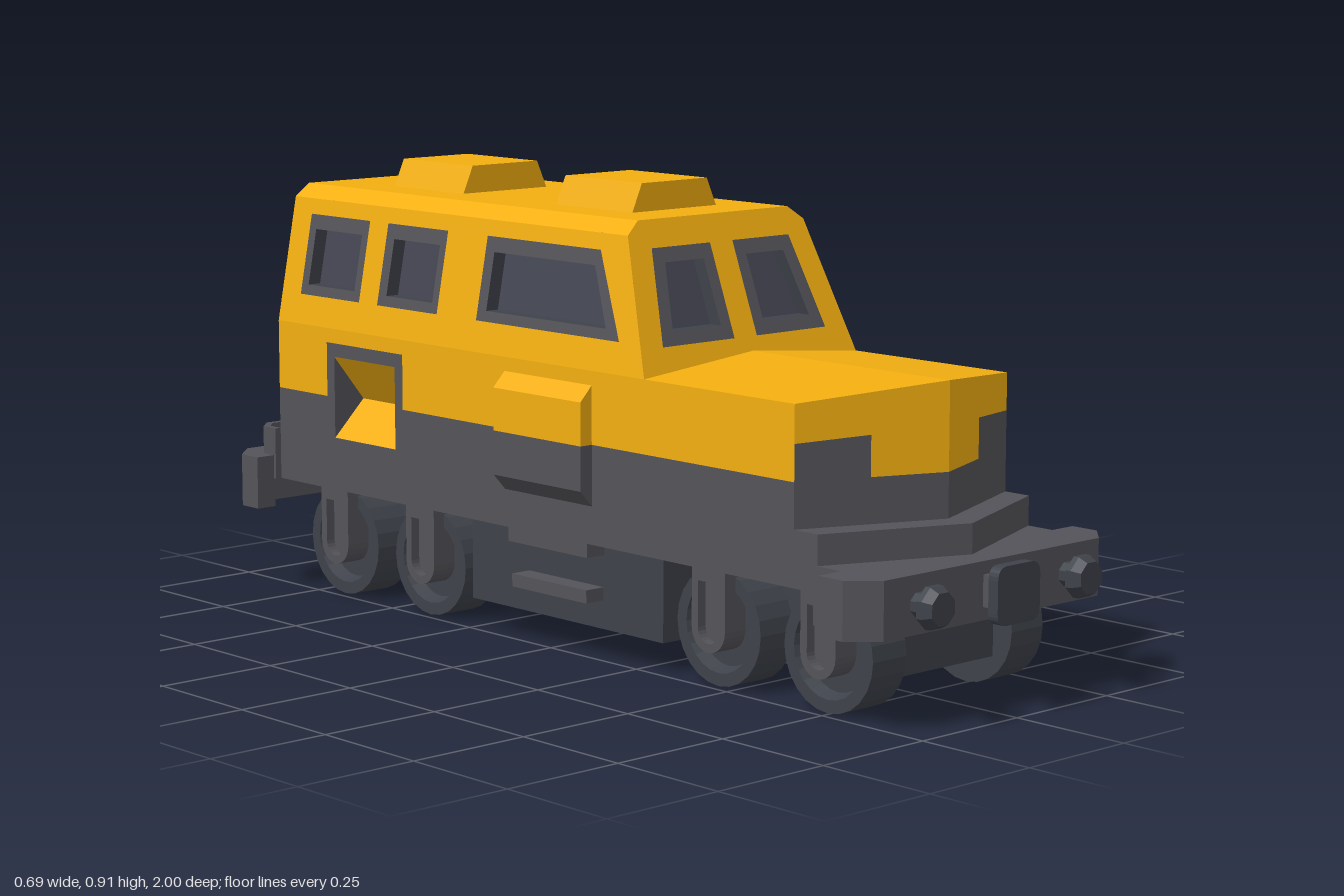
import * as THREE from 'three';

const mat = (color) => new THREE.MeshStandardMaterial({ color, flatShading: true, side: THREE.DoubleSide });
const yellow = mat(0xf2ae10), grey = mat(0x545359), dark = mat(0x3e424a), glass = mat(0x434552);

export function createModel() {
  const model = new THREE.Group();
  const add = (name, geo, material, x = 0, y = 0, z = 0) => {
    const m = new THREE.Mesh(geo, material);
    m.name = name;
    m.position.set(x, y, z);
    model.add(m);
    return m;
  };
  const loop = (pts) => pts.map(([x, y]) => new THREE.Vector2(x, y));
  const shapeOf = (pts, holes = []) => {
    const s = new THREE.Shape(loop(pts));
    holes.forEach((h) => s.holes.push(new THREE.Path(loop(h))));
    return s;
  };
  const rect = (a, b, c, d) => [[a, b], [c, b], [c, d], [a, d]];
  const extrude = (shape, depth) =>
    new THREE.ExtrudeGeometry(shape, { depth, bevelEnabled: false, curveSegments: 6 });
  const box = (name, material, x0, x1, y0, y1, z0, z1) =>
    add(name, new THREE.BoxGeometry(x1 - x0, y1 - y0, z1 - z0), material,
      (x0 + x1) / 2, (y0 + y1) / 2, (z0 + z1) / 2);
  // plan outline in x and z, raised from y0 to y1
  const slab = (name, material, pts, y0, y1) =>
    add(name, extrude(shapeOf(pts), y1 - y0).rotateX(Math.PI / 2), material, 0, y1, 0);

  // flat outline laid onto a wall: map(u, v, depth) gives the point in space
  const panel = (name, material, map, pts, holes = [], depth = 0) => {
    const geo = new THREE.ShapeGeometry(shapeOf(pts, holes)).toNonIndexed();
    const p = geo.attributes.position;
    const out = [];
    const v = (i) => new THREE.Vector3(...map(p.getX(i), p.getY(i), depth));
    const inward = new THREE.Vector3(...map(pts[0][0], pts[0][1], 1)).sub(new THREE.Vector3(...map(pts[0][0], pts[0][1], 0)));
    for (let i = 0; i < p.count; i += 3) {
      const [a, b, c] = [v(i), v(i + 1), v(i + 2)];
      const n = b.clone().sub(a).cross(c.clone().sub(a));
      const tri = n.dot(inward) > 0 ? [a, c, b] : [a, b, c];
      tri.forEach((q) => out.push(q));
    }
    const g = new THREE.BufferGeometry().setFromPoints(out);
    g.computeVertexNormals();
    return add(name, g, material);
  };
  const quad = (name, material, a, b, c, d) => {
    const g = new THREE.BufferGeometry().setFromPoints([a, b, c, a, c, d].map((q) => new THREE.Vector3(...q)));
    g.computeVertexNormals();
    return add(name, g, material);
  };
  // frame flush with the wall, glass set back behind it
  const windowIn = (name, map, outer, inner, d = 0.03) => {
    panel(name + 'Frame', grey, map, outer, [inner]);
    panel(name + 'Glass', glass, map, inner, [], d);
    inner.forEach((a, i) => {
      const b = inner[(i + 1) % inner.length];
      quad(name + 'Reveal', dark, map(...a, 0), map(...b, 0), map(...b, d), map(...a, d));
    });
  };

  const W = 0.285, back = -0.83;
  const sideX = (y) => W - Math.max(0, y - 0.573) * 0.193;
  const cabZ = (y) => 0.31 - (y - 0.573) * 0.386;
  const cabEnd = [[-W, 0.573], [W, 0.573], [0.235, 0.832], [0.2, 0.858], [-0.2, 0.858], [-0.235, 0.832]];

  // side walls, hood and nose, mirrored
  for (const s of [1, -1]) {
    const side = (z, y, d) => [s * (sideX(y) - d), y, z];
    const cabWin = [[0.227, 0.634], [-0.195, 0.634], [-0.195, 0.8], [0.14, 0.8]];
    const wins = [
      [cabWin, [[0.185, 0.655], [-0.168, 0.655], [-0.168, 0.77], [0.13, 0.77]]],
      [rect(-0.51, 0.634, -0.318, 0.8), rect(-0.484, 0.655, -0.337, 0.77)],
      [rect(-0.767, 0.634, -0.57, 0.8), rect(-0.745, 0.655, -0.59, 0.77)],
    ];
    panel('cabSide', yellow, side,
      [[back, 0.573], [0.31, 0.573], [cabZ(0.832), 0.832], [back, 0.832]], wins.map((w) => w[0]));
    wins.forEach(([o, i]) => windowIn('sideWindow', side, o, i));

    const notch = [[-0.415, 0.43], [-0.415, 0.543], [-0.665, 0.543], [-0.665, 0.43]];
    panel('sideUpperBand', yellow, side,
      [[0.71, 0.573], [0.71, 0.43], ...notch, [back, 0.43], [back, 0.573]]);
    panel('sideLowerBand', grey, side,
      [[0.71, 0.235], [0.71, 0.43], ...notch, [back, 0.43], [back, 0.235]],
      [rect(-0.64, 0.345, -0.44, 0.515)]);

    // V-shaped recess in the side hatch
    const z0 = -0.64, z1 = -0.44, deep = s * 0.21, x = s * W;
    quad('hatchUpper', yellow, [x, 0.515, z0], [x, 0.515, z1], [deep, 0.42, z1], [deep, 0.42, z0]);
    quad('hatchLower', yellow, [deep, 0.42, z0], [deep, 0.42, z1], [x, 0.345, z1], [x, 0.345, z0]);
    for (const z of [z0, z1]) quad('hatchEnd', grey, [x, 0.515, z], [deep, 0.42, z], [x, 0.345, z], [x, 0.43, z]);

    // roof edge bevel
    const e = cabZ(0.832), t = cabZ(0.858);
    const bevel = [[s * 0.235, 0.832, e], [s * 0.235, 0.832, back], [s * 0.2, 0.858, back], [s * 0.2, 0.858, t]];
    quad('roofBevel', yellow, ...(s > 0 ? bevel : bevel.reverse()));

    // hood top
    const hood = [[s * W, 0.573, 0.31], [0, 0.6, 0.31], [0, 0.6, 0.825], [s * W, 0.573, 0.71]];
    quad('hoodTop', yellow, ...(s > 0 ? hood : hood.reverse()));

    // slanted nose with raised grey corner
    const nose = (u, y, d) => [s * u, y, 0.825 - u * 0.4035 - d];
    panel('noseUpper', yellow, nose,
      [[0, 0.43], [0.145, 0.43], [0.145, 0.508], [W, 0.5], [W, 0.573], [0, 0.6]]);
    panel('noseLower', grey, nose,
      [[0, 0.235], [W, 0.235], [W, 0.5], [0.145, 0.508], [0.145, 0.43], [0, 0.43]]);

    // windscreen half
    windowIn('windscreen', (u, y, d) => [s * u, y, cabZ(y) - d],
      [[0.03, 0.625], [0.218, 0.625], [0.183, 0.805], [0.03, 0.805]],
      [[0.057, 0.651], [0.183, 0.651], [0.158, 0.777], [0.057, 0.777]]);

    // bevelled equipment box on the side
    const bx = (pts) => extrude(shapeOf(pts.map(([px, py]) => [s * px, py])), 0.257);
    add('sideBoxTop', bx([[0.28, 0.43], [0.314, 0.43], [0.314, 0.515], [0.285, 0.545], [0.28, 0.545]]), yellow, 0, 0, -0.095);
    add('sideBoxBottom', bx([[0.28, 0.31], [0.285, 0.31], [0.314, 0.342], [0.314, 0.43], [0.28, 0.43]]), grey, 0, 0, -0.095);

    // foot step below the body
    const [a, b] = s > 0 ? [0.23, 0.285] : [-0.285, -0.23];
    box('footStep', grey, a, b, 0.117, 0.143, -0.075, 0.145);
    box('stepHanger', grey, a, b, 0.207, 0.236, -0.085, 0.148);
  }

  // cab front, back and roof
  const front = (x, y, d) => [x, y, cabZ(y) - d];
  const screen = (s) => [[s * 0.03, 0.625], [s * 0.218, 0.625], [s * 0.183, 0.805], [s * 0.03, 0.805]];
  panel('cabFront', yellow, front, cabEnd, [screen(1), screen(-1)]);
  const rear = (x, y, d) => [x, y, back + d];
  const rearWin = [[-0.228, 0.63], [0.228, 0.63], [0.195, 0.805], [-0.195, 0.805]];
  panel('cabBack', yellow, rear,
    [[-W, 0.43], [W, 0.43], ...cabEnd.slice(1), [-W, 0.573]], [rearWin]);
  panel('lowerBack', grey, rear, rect(-W, 0.235, W, 0.43));
  windowIn('rearWindow', rear, rearWin, [[-0.197, 0.655], [0.197, 0.655], [0.172, 0.777], [-0.172, 0.777]]);
  const rz = cabZ(0.858);
  quad('roof', yellow, [-0.2, 0.858, rz], [0.2, 0.858, rz], [0.2, 0.858, back], [-0.2, 0.858, back]);
  panel('bodyFloor', grey, (x, z, d) => [x, 0.235 + d, z],
    [[-W, back], [W, back], [W, 0.71], [0, 0.825], [-W, 0.71]]);

  // roof hatches
  for (const z of [-0.137, -0.65])
    add('roofHatch', extrude(shapeOf([[-0.113, 0.856], [0.113, 0.856], [0.087, 0.914], [-0.087, 0.914]]), 0.225), yellow, 0, 0, z);

  // front step, rear rim and buffer beams
  slab('frontStep', grey, [[-W, 0.68], [W, 0.68], [W, 0.77], [0, 0.885], [-W, 0.77]], 0.235, 0.343);
  slab('frontBeam', grey,
    [[-0.343, 0.83], [-W, 0.83], [-W, 0.76], [W, 0.76], [W, 0.83], [0.343, 0.83], [0.343, 0.89], [0.29, 0.94], [-0.29, 0.94], [-0.343, 0.89]], 0.175, 0.285);
  const bracket = (x, c, z0, z1, z2, t) => [[-x, z0], [-x, z1], [-x + c, z2], [x - c, z2], [x, z1], [x, z0],
    [x - t, z0], [x - t, z1 + t * 0.4], [x - c - t * 0.4, z2 + t], [-x + c + t * 0.4, z2 + t], [-x + t, z1 + t * 0.4], [-x + t, z0]];
  slab('rearRim', grey, bracket(0.3, 0.035, -0.828, -0.87, -0.905, 0.014), 0.235, 0.343);
  slab('rearBeam', grey, bracket(0.343, 0.053, -0.835, -0.89, -0.943, 0.045), 0.175, 0.285);

  // buffers and couplers at both ends
  const r = 0.05, pad = new THREE.Shape();
  pad.moveTo(-0.057, -0.025).lineTo(-0.057, 0.03).quadraticCurveTo(-0.057, 0.055, -0.032, 0.055)
    .lineTo(0.032, 0.055).quadraticCurveTo(0.057, 0.055, 0.057, 0.03).lineTo(0.057, -0.03)
    .quadraticCurveTo(0.057, -0.055, 0.032, -0.055).lineTo(-0.032, -0.055).quadraticCurveTo(-0.057, -0.055, -0.057, -0.03);
  const bufferProfile = loop([[0.024, 0], [0.024, 0.03], [0.042, 0.03], [0.042, 0.042], [0.032, 0.06], [0, 0.06]]);
  for (const e of [1, -1]) {
    const turn = e > 0 ? 0 : Math.PI;
    for (const x of [-0.2, 0.2]) {
      const g = new THREE.LatheGeometry(bufferProfile, 8).rotateX(Math.PI / 2).rotateZ(Math.PI / 8).rotateY(turn);
      add('buffer', g, dark, x, 0.23, e * 0.94);
    }
    box('couplerStem', grey, -0.03, 0.03, 0.2, 0.26, e > 0 ? 0.93 : -0.98, e > 0 ? 0.98 : -0.93);
    add('couplerPad', extrude(pad, 0.023).rotateY(turn), dark, 0, 0.23, e * 0.977);
  }

  // underframe tank and bogies
  box('underTank', dark, -0.24, 0.24, 0.06, 0.236, -0.25, 0.315);
  for (const z of [0.601, -0.54]) box('bogie', dark, -0.145, 0.145, 0.06, 0.236, z - 0.21, z + 0.21);

  // wheels with axle guards
  const wheelProfile = loop([[0, 0], [0.113, 0], [0.113, 0.087], [0.088, 0.087], [0.078, 0.06], [0, 0.06]]);
  const guard = (w, top) => {
    const s = new THREE.Shape();
    s.moveTo(-w, top).lineTo(-w, 0).absarc(0, 0, w, Math.PI, 2 * Math.PI, false).lineTo(w, top);
    return s;
  };
  const guardRing = guard(0.045, 0.122);
  guardRing.holes.push(guard(0.028, 0.09));
  for (const s of [1, -1]) for (const z of [0.745, 0.457, -0.398, -0.682]) {
    const g = new THREE.LatheGeometry(wheelProfile, 24).rotateZ(-s * Math.PI / 2);
    add('wheel', g, dark, s * 0.143, 0.113, z);
    const turn = s * Math.PI / 2;
    add('axleGuard', extrude(guardRing, 0.055).rotateY(turn), grey, s * 0.202, 0.113, z);
    add('axleBox', extrude(guard(0.03, 0.1), 0.035).rotateY(turn), grey, s * 0.202, 0.113, z);
  }
  return model;
}
